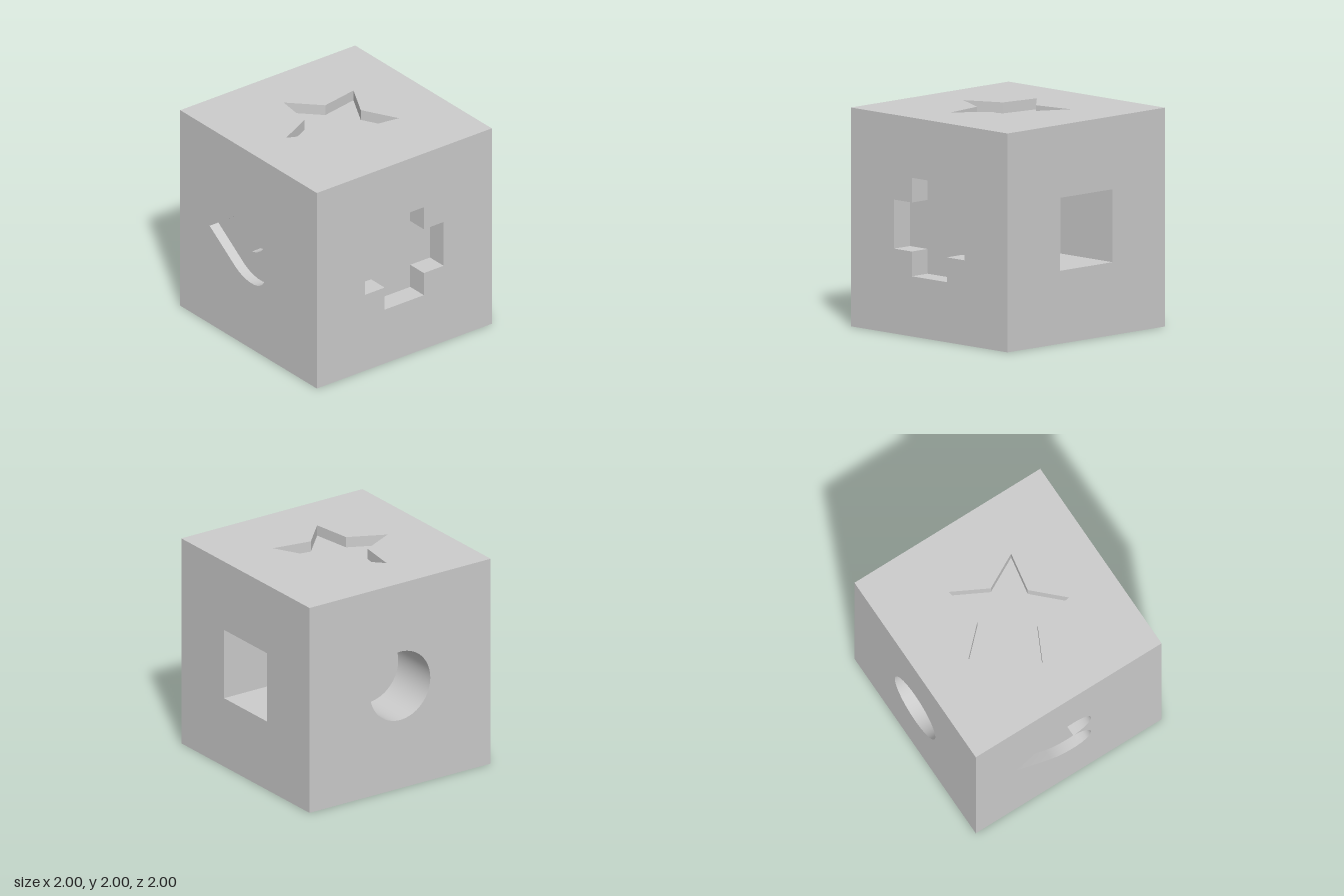
import * as THREE from 'three';
import { toCreasedNormals } from 'three/addons/utils/BufferGeometryUtils.js';

const material = new THREE.MeshStandardMaterial({ color: 0xcccccc });
const toPoints = (list) => list.map(([x, y]) => new THREE.Vector2(x, y));

// Points around a centre; alternating radii give a star
function radial(count, radii, start) {
  return Array.from({ length: count }, (_, i) => {
    const a = start + (i / count) * Math.PI * 2;
    const r = radii[i % radii.length];
    return new THREE.Vector2(r * Math.cos(a), r * Math.sin(a));
  });
}

// Plus sign with arm half-length a and half-width b
function crossOutline(a, b) {
  return toPoints([[a, -b], [a, b], [b, b], [b, a], [-b, a], [-b, b],
    [-a, b], [-a, -b], [-b, -b], [-b, -a], [b, -a], [b, -b]]);
}

// Sideways heart with its tip at -x
function heartOutline() {
  const half = new THREE.Path();
  half.moveTo(-0.57, 0);
  half.lineTo(-0.19, 0.26);
  half.bezierCurveTo(-0.04, 0.36, 0.24, 0.37, 0.24, 0.18);
  half.bezierCurveTo(0.24, 0.08, 0.14, 0.01, 0.05, 0);
  const upper = half.getPoints(8);
  const lower = upper.slice(1, -1).reverse().map((p) => new THREE.Vector2(p.x, -p.y));
  return [...upper, ...lower];
}

// Pocket walls facing into the recess
function wallGeometry(points, depth) {
  const position = [];
  points.forEach((a, i) => {
    const b = points[(i + 1) % points.length];
    position.push(a.x, a.y, 0, b.x, b.y, 0, b.x, b.y, -depth);
    position.push(a.x, a.y, 0, b.x, b.y, -depth, a.x, a.y, -depth);
  });
  const geometry = new THREE.BufferGeometry();
  geometry.setAttribute('position', new THREE.Float32BufferAttribute(position, 3));
  return toCreasedNormals(geometry, 0.6);
}

// One cube face with a recessed pocket
function pocketFace(name, outline, depth, rx, ry) {
  const points = THREE.ShapeUtils.isClockWise(outline) ? outline.reverse() : outline;
  const panel = new THREE.Shape(toPoints([[-1, -1], [1, -1], [1, 1], [-1, 1]]));
  panel.holes.push(new THREE.Path(points));
  const face = new THREE.Group();
  face.name = name;
  const add = (part, geometry) => {
    const mesh = new THREE.Mesh(geometry, material);
    mesh.name = name + part;
    face.add(mesh);
  };
  add('Panel', new THREE.ShapeGeometry(panel).translate(0, 0, 1));
  add('Walls', wallGeometry(points, depth).translate(0, 0, 1));
  add('Floor', new THREE.ShapeGeometry(new THREE.Shape(points)).translate(0, 0, 1 - depth));
  face.rotation.set(rx, ry, 0);
  face.position.y = 1;
  return face;
}

export function createModel() {
  const model = new THREE.Group();
  model.name = 'shapeCube';
  const q = Math.PI / 2;
  const third = 1 / 3;
  model.add(
    pocketFace('frontCross', crossOutline(0.45, 0.224), 0.2, 0, 0),
    pocketFace('rightSquare', radial(4, [third * Math.SQRT2], q / 2), 0.667, 0, q),
    pocketFace('backCircle', radial(64, [third], 0), 0.5, 0, 2 * q),
    pocketFace('leftHeart', heartOutline(), 0.1, 0, -q),
    pocketFace('topStar', radial(10, [0.57, 0.283], Math.PI), 0.1, -q, 0),
    pocketFace('bottomTriangle', radial(3, [third], -q), 0.14, q, 0),
  );
  return model;
}
